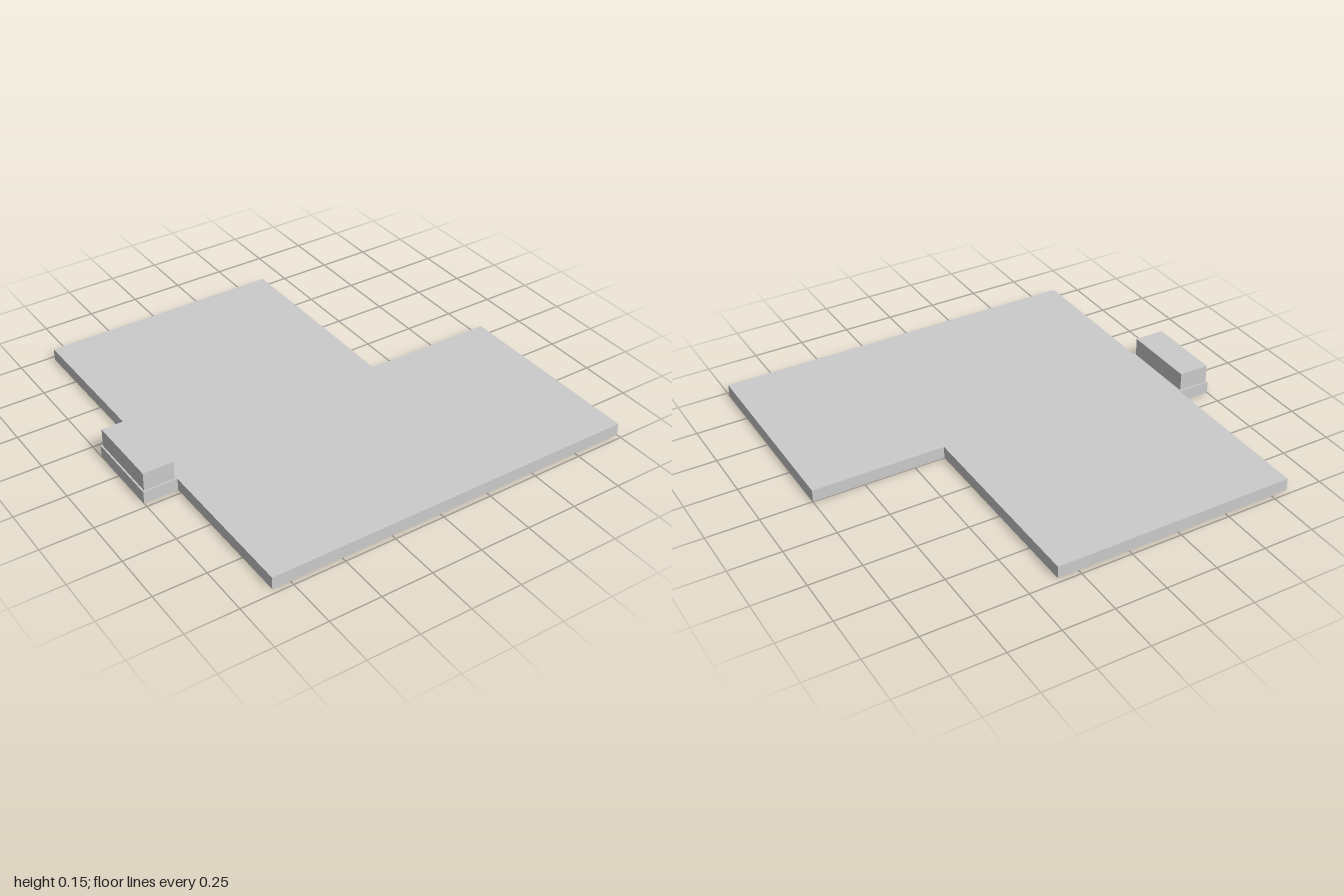
import * as THREE from 'three';

const material = new THREE.MeshStandardMaterial({ color: 0xcccccc, flatShading: true });

// Extrudes a floor outline of [x, z] corners upward from y = bottom.
function slab(name, outline, bottom, height) {
  const shape = new THREE.Shape(outline.map(([x, z]) => new THREE.Vector2(x, -z)));
  const geometry = new THREE.ExtrudeGeometry(shape, { depth: height, bevelEnabled: false });
  geometry.rotateX(-Math.PI / 2);
  geometry.translate(0, bottom, 0);
  const mesh = new THREE.Mesh(geometry, material);
  mesh.name = name;
  return mesh;
}

export function createModel() {
  const group = new THREE.Group();
  group.name = 'floorPlate';
  const thickness = 0.06;

  // L-shaped plate with a small tab on its right side
  group.add(slab('plate', [
    [-0.835, 0.975], [1, 0.975], [1, 0], [0.35, 0], [0.35, -0.975], [-0.835, -0.975],
    [-0.835, -0.165], [-1, -0.165], [-1, 0.225], [-0.835, 0.225],
  ], 0, thickness));

  // Raised block on the tab, inset to leave a narrow rim
  group.add(slab('tabBlock', [
    [-0.992, 0.217], [-0.843, 0.217], [-0.843, -0.157], [-0.992, -0.157],
  ], thickness, 0.09));

  return group;
}
